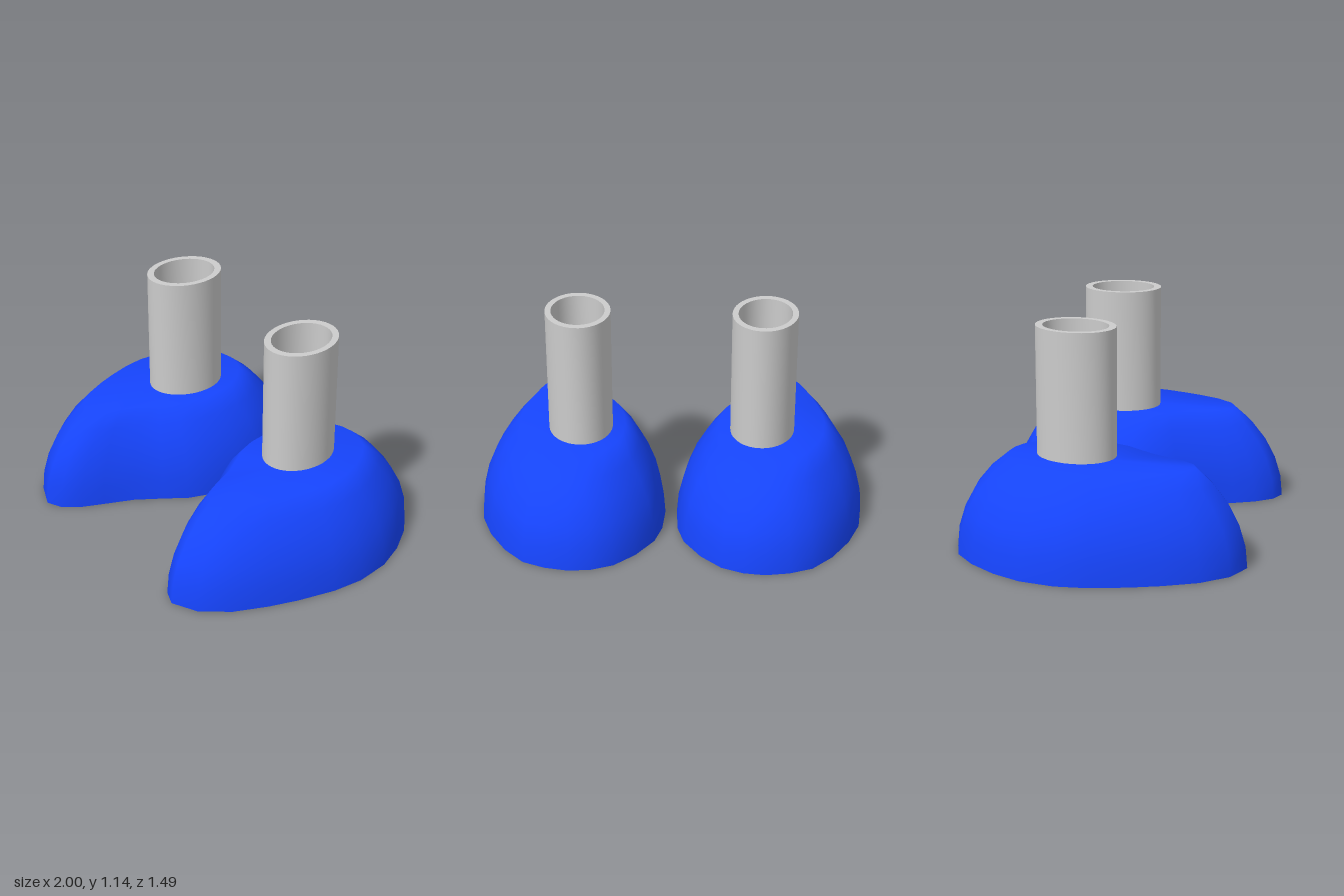
import * as THREE from 'three';
import { toCreasedNormals } from 'three/addons/utils/BufferGeometryUtils.js';

// Teardrop footprint of the left foot as [x, z], from the heel round the outer side to the toe and back
const FOOTPRINT = [
  [0.49, -0.75], [0.61, -0.73], [0.725, -0.685], [0.83, -0.58], [0.92, -0.44], [0.98, -0.29],
  [1.0, -0.11], [0.98, 0.05], [0.925, 0.24], [0.87, 0.385], [0.79, 0.55], [0.68, 0.68], [0.55, 0.74],
  [0.47, 0.705], [0.4, 0.615], [0.35, 0.51], [0.28, 0.36], [0.19, 0.23], [0.11, 0.12], [0.056, -0.016],
  [0.03, -0.19], [0.04, -0.35], [0.075, -0.47], [0.165, -0.6], [0.27, -0.695], [0.38, -0.738],
];
const CENTRE_X = 0.515;
const LAYERS = 5;

// Domed foot: the footprint shrinks upward along an arc, with a flat top and base
function footGeometry(side) {
  const outline = side > 0 ? FOOTPRINT : [...FOOTPRINT].reverse();
  const n = outline.length;
  const pos = [], index = [];
  const addRing = (y, sx, sz) => outline.forEach(([x, z]) =>
    pos.push(side * (CENTRE_X + (x - CENTRE_X) * sx), y, z * sz));

  for (let i = 0; i <= LAYERS; i++) {
    const a = THREE.MathUtils.degToRad(i * 10);
    const shrink = 1 - Math.cos(a);
    addRing(0.64 * Math.sin(a), 1 - 1.21 * shrink, 1 - shrink);
  }
  const top = pos.length / 3;
  pos.push(side * CENTRE_X, 0.49, 0);
  // separate base ring keeps the bottom edge sharp
  const base = pos.length / 3;
  addRing(0, 1, 1);
  const bottom = pos.length / 3;
  pos.push(side * CENTRE_X, 0, 0);

  for (let j = 0; j < n; j++) {
    const k = (j + 1) % n;
    for (let i = 0; i < LAYERS; i++) {
      const r = i * n, u = r + n;
      index.push(r + j, u + j, r + k, r + k, u + j, u + k);
    }
    index.push(top, LAYERS * n + k, LAYERS * n + j);
    index.push(bottom, base + j, base + k);
  }
  const g = new THREE.BufferGeometry();
  g.setAttribute('position', new THREE.Float32BufferAttribute(pos, 3));
  g.setIndex(index);
  g.computeVertexNormals();
  return g;
}

// Hollow oval leg, closed by a floor inside
function legGeometry() {
  const profile = [[1, 0.42], [1, 1.145], [0.82, 1.145], [0.82, 0.5], [0, 0.5]]
    .map(([r, y]) => new THREE.Vector2(r, y));
  const g = new THREE.LatheGeometry(profile, 40);
  g.scale(0.164, 1, 0.204);
  return toCreasedNormals(g, 0.6);
}

export function createModel() {
  const model = new THREE.Group();
  const blue = new THREE.MeshStandardMaterial({ color: 0x1645ff });
  const grey = new THREE.MeshStandardMaterial({ color: 0xcccccc });

  for (const side of [1, -1]) {
    const name = side > 0 ? 'left' : 'right';
    const foot = new THREE.Mesh(footGeometry(side), blue);
    foot.name = name + 'Foot';

    const leg = new THREE.Mesh(legGeometry(), grey);
    leg.name = name + 'Leg';
    leg.position.set(side * 0.467, 0, -0.142);
    leg.rotation.y = side * 0.12; // toes turn slightly outward

    model.add(foot, leg);
  }
  return model;
}
